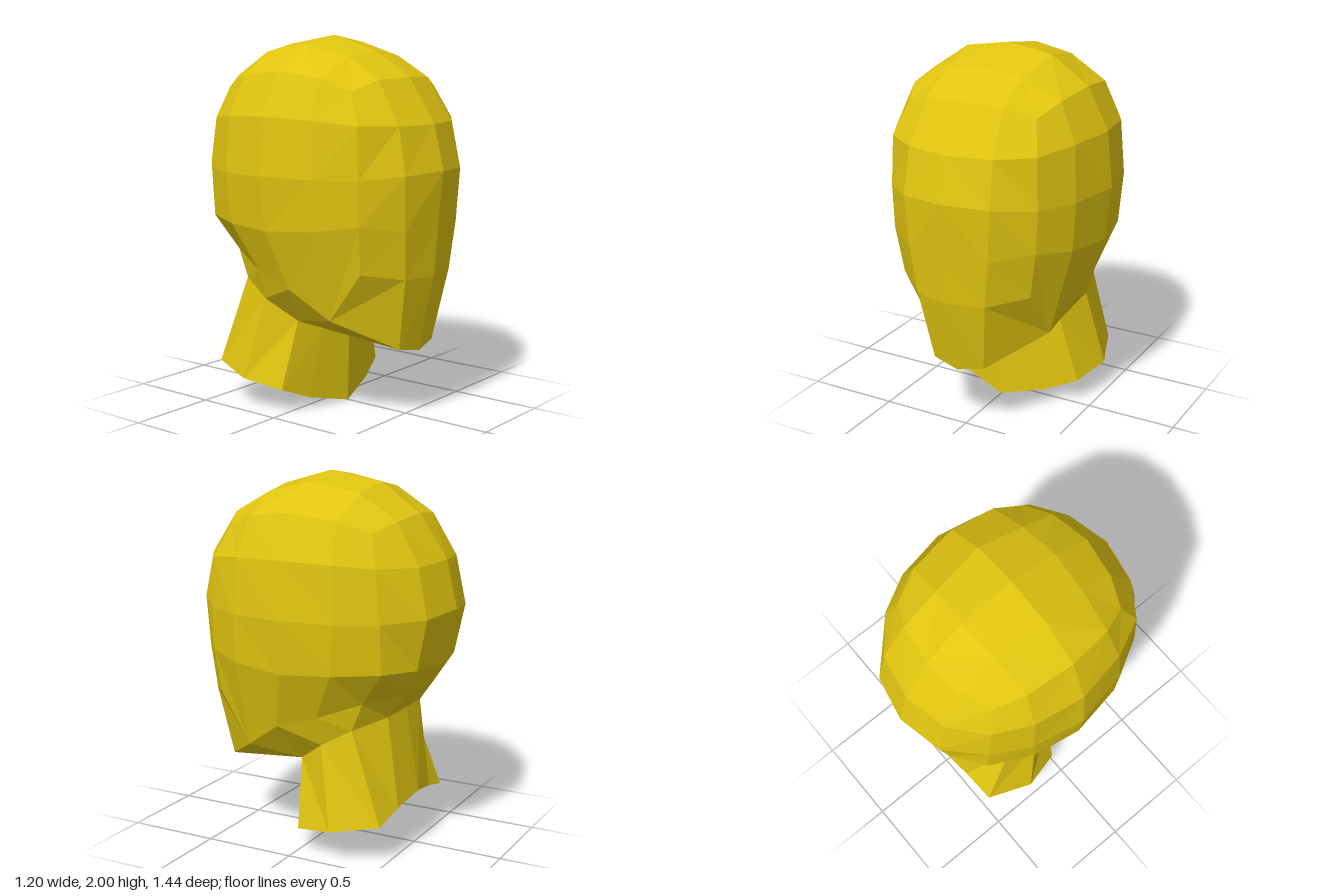
import * as THREE from 'three';

const material = new THREE.MeshStandardMaterial({ color: 0xe0c410, flatShading: true, side: THREE.DoubleSide });

// Skins pairs of cross-sections (upper row, lower row) and mirrors them across x = 0.
function skin(name, strips) {
  const pos = [];
  for (const s of [1, -1]) {
    const tri = (a, b, c) => {
      for (const p of s > 0 ? [a, b, c] : [a, c, b]) pos.push(p[0] * s, p[1], p[2]);
    };
    for (const [up, low] of strips) {
      for (let j = 0; j < up.length - 1; j++) {
        tri(up[j], low[j], low[j + 1]);
        if (up[j] !== up[j + 1]) tri(up[j], low[j + 1], up[j + 1]);
      }
    }
  }
  const geo = new THREE.BufferGeometry();
  geo.setAttribute('position', new THREE.Float32BufferAttribute(pos, 3));
  geo.computeVertexNormals();
  const mesh = new THREE.Mesh(geo, material);
  mesh.name = name;
  return mesh;
}

export function createModel() {
  // Half rings of the skull, each from front centre round the side to back centre
  const crown = [[0, 1.79, 0.505], [0.22, 1.78, 0.47], [0.37, 1.725, 0.41], [0.43, 1.79, 0.26], [0.46, 1.82, 0.015],
    [0.43, 1.79, -0.25], [0.36, 1.73, -0.41], [0.22, 1.78, -0.48], [0, 1.8, -0.505]];
  const brow = [[0, 1.555, 0.66], [0.24, 1.555, 0.61], [0.42, 1.56, 0.49], [0.52, 1.585, 0.28], [0.57, 1.595, 0.005],
    [0.52, 1.585, -0.27], [0.42, 1.565, -0.46], [0.24, 1.56, -0.61], [0, 1.57, -0.66]];
  const middle = [[0, 1.32, 0.72], [0.25, 1.31, 0.66], [0.43, 1.29, 0.5], [0.54, 1.29, 0.3], [0.6, 1.295, 0],
    [0.54, 1.29, -0.285], [0.43, 1.29, -0.49], [0.25, 1.3, -0.665], [0, 1.32, -0.72]];
  const cheek = [[0, 1.025, 0.69], [0.23, 1.03, 0.65], [0.42, 1.06, 0.5], [0.525, 1.03, 0.3], [0.57, 1.01, 0.01],
    [0.525, 1.02, -0.26], [0.41, 1.03, -0.49], [0.24, 1.03, -0.61], [0, 1.03, -0.66]];
  const jaw = [[0, 0.77, 0.67], [0.2, 0.775, 0.63], [0.38, 0.81, 0.48], [0.4, 0.55, 0.3], [0.47, 0.7, 0.085],
    [0.45, 0.77, -0.14], [0.36, 0.85, -0.36], [0.2, 0.88, -0.52], [0, 0.89, -0.56]];
  const chin = [[0, 0.36, 0.58], [0.15, 0.39, 0.56], jaw[3]];

  // Top patch of the skull, rows running front to back
  const top = [
    crown.slice(0, 3),
    [[0, 1.92, 0.29], [0.22, 1.89, 0.275], crown[3]],
    [[0, 2, 0.015], [0.25, 1.96, 0.015], crown[4]],
    [[0, 1.95, -0.285], [0.22, 1.91, -0.27], crown[5]],
    [crown[8], crown[7], crown[6]],
  ];

  // Neck rings, front centre to back centre
  const neckTop = [[0, 0.41, 0.12], [0.17, 0.44, 0.075], [0.32, 0.495, 0.02], [0.4, 0.61, -0.14],
    [0.36, 0.7, -0.3], [0.2, 0.75, -0.43], [0, 0.76, -0.445]];
  const neckBase = [[0, 0, 0.11], [0.25, 0.06, 0.045], [0.42, 0.13, -0.01], [0.48, 0.17, -0.23],
    [0.39, 0.21, -0.48], [0.2, 0.26, -0.495], [0, 0.3, -0.52]];

  const strips = [];
  for (let i = 0; i < 4; i++) strips.push([top[i + 1], top[i]]);
  const rings = [crown, brow, middle, cheek, jaw];
  for (let i = 0; i < 4; i++) strips.push([rings[i], rings[i + 1]]);
  // Chin front, then the underside of the jaw in to the neck
  strips.push([jaw.slice(0, 3), chin]);
  strips.push([chin, neckTop.slice(0, 3)]);
  strips.push([[jaw[4], jaw[4]], [jaw[3], neckTop[2]]]);
  strips.push([jaw.slice(4), neckTop.slice(2)]);

  const group = new THREE.Group();
  group.name = 'headWithNeck';
  group.add(skin('head', strips), skin('neck', [[neckTop, neckBase]]));
  return group;
}
